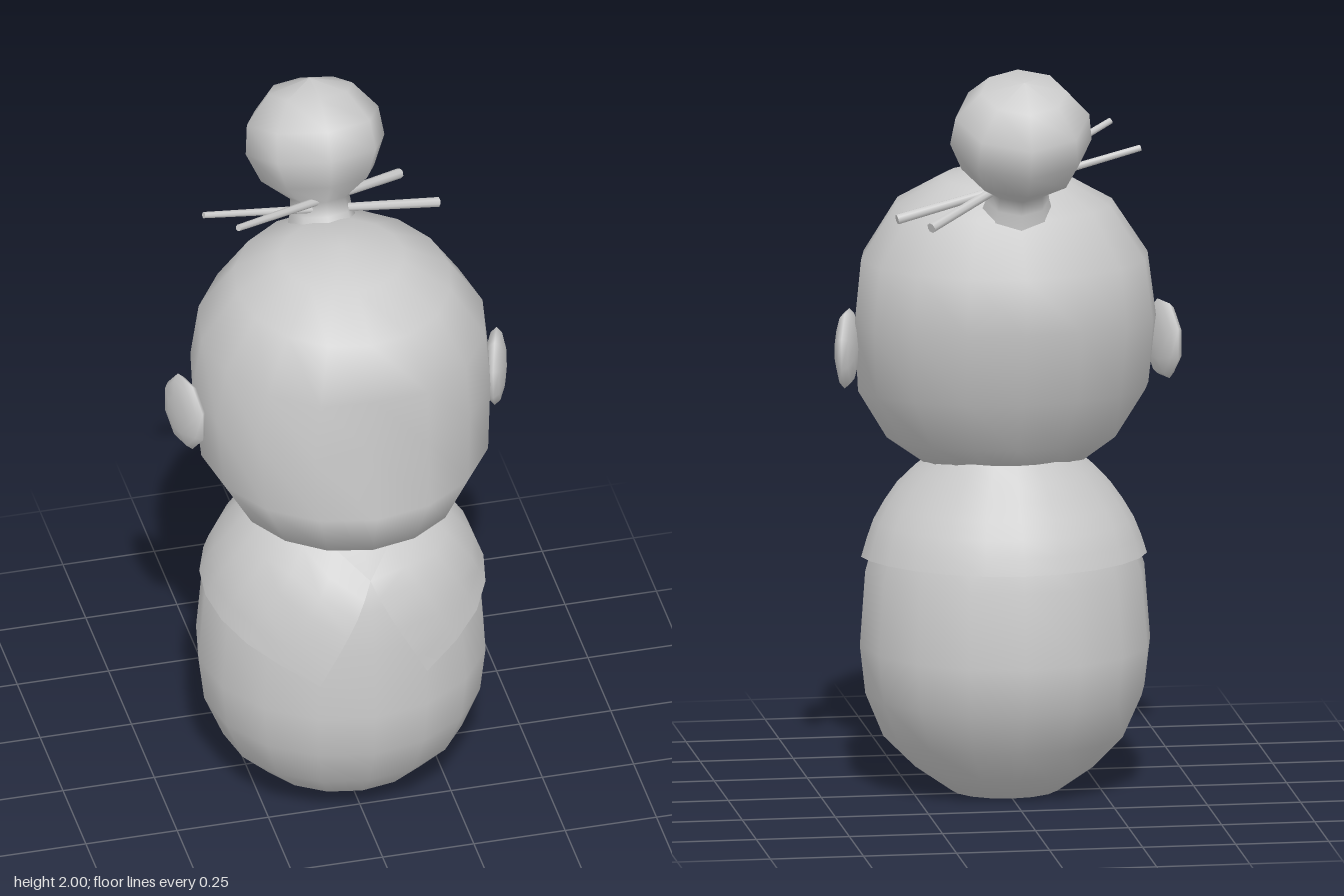
import * as THREE from 'three';
import { mergeVertices } from 'three/addons/utils/BufferGeometryUtils.js';

const lerp = THREE.MathUtils.lerp;
const material = new THREE.MeshStandardMaterial({ color: 0xcccccc });
const sheetMaterial = new THREE.MeshStandardMaterial({ color: 0xcccccc, side: THREE.DoubleSide });

function add(parent, name, geometry, mat = material) {
  const mesh = new THREE.Mesh(geometry, mat);
  mesh.name = name;
  parent.add(mesh);
  return mesh;
}

// Surface from a grid of points; columns run from the front towards +x, rows upwards
function gridSurface(rows, columns, point) {
  const positions = [], index = [];
  for (let i = 0; i <= rows; i++) {
    for (let j = 0; j <= columns; j++) positions.push(...point(i, j));
  }
  for (let i = 0; i < rows; i++) {
    for (let j = 0; j < columns; j++) {
      const a = i * (columns + 1) + j, b = a + columns + 1;
      index.push(a, a + 1, b, a + 1, b + 1, b);
    }
  }
  const geometry = new THREE.BufferGeometry();
  geometry.setAttribute('position', new THREE.Float32BufferAttribute(positions, 3));
  geometry.setIndex(index);
  const merged = mergeVertices(geometry, 1e-4);
  merged.computeVertexNormals();
  return merged;
}

// Point on an oval ring: [front y, front z, back y, back z, half width, flat front limit]
function ringPoint([yF, zF, yB, zB, half, limit = 9], angle, grow = 0) {
  const t = (1 + Math.cos(angle)) / 2;
  return [
    (half + grow) * Math.sin(angle),
    lerp(yB, yF, t),
    Math.min(limit, lerp(zB - grow, zF + grow, t)),
  ];
}

function loft(rings, sides = 16) {
  return gridSurface(rings.length - 1, sides, (i, j) =>
    ringPoint(rings[i], ((j % sides) / sides) * Math.PI * 2));
}

// Body rings are level: [y, front z, back z, half width]
const bodyRings = [
  [0, 0.045, 0.045, 0],
  [0, 0.18, -0.09, 0.145],
  [0.065, 0.28, -0.175, 0.24],
  [0.15, 0.355, -0.245, 0.325],
  [0.27, 0.405, -0.315, 0.375],
  [0.4, 0.42, -0.335, 0.39],
  [0.6, 0.405, -0.31, 0.375],
  [0.72, 0.385, -0.275, 0.335],
  [0.81, 0.35, -0.22, 0.28],
  [0.87, 0.28, -0.185, 0.225],
  [0.92, 0.19, -0.15, 0.17],
  [0.93, 0.02, 0.02, 0],
];

// Point just outside the body at a given height
function overBody(angle, y, grow) {
  let k = 1;
  while (bodyRings[k + 1][0] < y) k++;
  const low = bodyRings[k], high = bodyRings[k + 1];
  const t = (y - low[0]) / (high[0] - low[0]);
  const [, zF, zB, half] = low.map((v, n) => lerp(v, high[n], t));
  return ringPoint([y, zF, y, zB, half], angle, grow);
}

const headRings = [
  [0.87, 0.03, 0.87, 0.03, 0],
  [0.85, 0.24, 0.91, -0.15, 0.2],
  [0.935, 0.4, 0.97, -0.21, 0.31],
  [1.06, 0.44, 1.11, -0.29, 0.39],
  [1.24, 0.42, 1.31, -0.345, 0.405, 0.385],
  [1.43, 0.44, 1.46, -0.33, 0.385, 0.42],
  [1.58, 0.37, 1.6, -0.24, 0.29],
  [1.66, 0.23, 1.66, -0.11, 0.165],
  [1.69, 0.06, 1.69, 0.06, 0],
];

// Cape collar: opens in a V at the front and dips to two points
function collarGeometry() {
  const rows = 6, columns = 20;
  return gridSurface(rows, columns, (i, j) => {
    const s = (j / columns) * 2;
    const right = s > 1 || (s === 1 && j > columns / 2);
    const u = right ? 2 - s : s;
    const v = i / rows;
    const bottomY = 0.515 + 0.135 * (1 - (1 - u) ** 4);
    const topY = Math.min(0.92, 0.81 + 0.6 * u);
    const startAngle = lerp(THREE.MathUtils.degToRad(21.5), 0, v);
    const angle = lerp(startAngle, Math.PI, u);
    return overBody(right ? -angle : angle, lerp(bottomY, topY, v), 0.018);
  });
}

// Tapered stick between two points
function stick(parent, name, from, to) {
  const a = new THREE.Vector3(...from), b = new THREE.Vector3(...to);
  const direction = b.clone().sub(a);
  const mesh = add(parent, name, new THREE.CylinderGeometry(0.014, 0.009, direction.length(), 8));
  mesh.position.copy(a).add(b).multiplyScalar(0.5);
  mesh.quaternion.setFromUnitVectors(new THREE.Vector3(0, 1, 0), direction.normalize());
}

export function createModel() {
  const model = new THREE.Group();
  model.name = 'figurine';

  add(model, 'body', loft(bodyRings.map(([y, f, b, w]) => [y, f, y, b, w])));
  add(model, 'collar', collarGeometry(), sheetMaterial);
  add(model, 'head', loft(headRings));

  // Ears: flattened low-poly discs turned slightly forwards
  for (const side of [1, -1]) {
    const geometry = new THREE.SphereGeometry(1, 8, 6).rotateX(Math.PI / 2).rotateZ(Math.PI / 8);
    geometry.scale(0.095, 0.11, 0.03);
    const ear = add(model, side > 0 ? 'leftEar' : 'rightEar', geometry);
    ear.position.set(side * 0.425, 1.21, 0.038);
    ear.rotation.y = side * 1.255;
  }

  // Hair bun with its narrow root, leaning backwards
  const bunProfile = [
    [0.1, 0], [0.085, 0.05], [0.08, 0.09], [0.155, 0.15],
    [0.19, 0.23], [0.18, 0.31], [0.115, 0.385], [0, 0.415],
  ].map(([r, y]) => new THREE.Vector2(r, y));
  const bun = add(model, 'hairBun', new THREE.LatheGeometry(bunProfile, 8));
  bun.position.set(0, 1.6, -0.16);
  bun.rotation.x = -0.35;

  // Crossed hair sticks
  stick(model, 'hairStickA', [-0.345, 1.755, -0.08], [0.325, 1.605, -0.19]);
  stick(model, 'hairStickB', [-0.285, 1.8, 0.06], [0.255, 1.61, -0.335]);

  return model;
}
